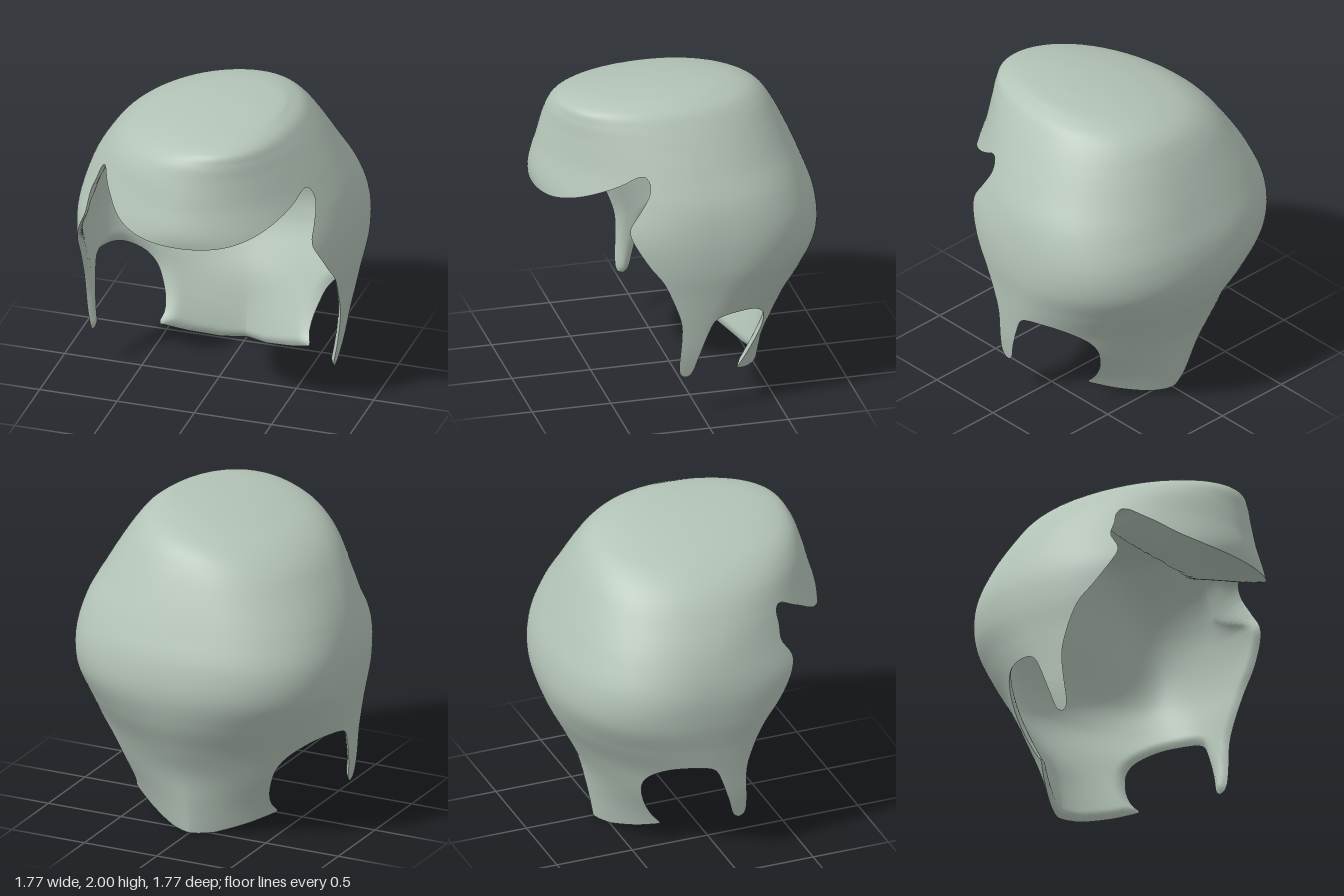
import * as THREE from 'three';

// Horizontal sections: y, xMin, xMax, zMin, zMax, zCentre, back exponent, front exponent
const SECTIONS = [
  [2.00, 0.26, 0.26, 0.10, 0.10, 0.10, 2.0, 2.0],
  [1.99, 0.10, 0.41, -0.14, 0.31, 0.09, 2.0, 2.0],
  [1.97, -0.05, 0.47, -0.30, 0.54, 0.08, 2.0, 2.05],
  [1.93, -0.24, 0.535, -0.45, 0.70, 0.06, 2.0, 2.1],
  [1.86, -0.45, 0.59, -0.56, 0.76, 0.04, 2.1, 2.1],
  [1.75, -0.61, 0.66, -0.64, 0.795, 0.02, 2.2, 2.0],
  [1.59, -0.73, 0.75, -0.72, 0.84, 0.00, 2.3, 1.85],
  [1.40, -0.825, 0.84, -0.80, 0.885, -0.07, 2.4, 1.9],
  [1.20, -0.88, 0.88, -0.87, 0.85, -0.14, 2.4, 2.3],
  [1.00, -0.885, 0.885, -0.885, 0.83, -0.13, 2.3, 2.3],
  [0.80, -0.86, 0.86, -0.83, 0.81, -0.08, 2.0, 2.2],
  [0.60, -0.835, 0.835, -0.73, 0.78, -0.02, 1.8, 2.2],
  [0.40, -0.81, 0.81, -0.635, 0.73, 0.03, 1.75, 2.2],
  [0.20, -0.765, 0.765, -0.59, 0.69, 0.08, 1.5, 2.2],
  [0.00, -0.70, 0.70, -0.555, 0.65, 0.10, 1.35, 2.2],
];

// Lower hair line in side profile (z, y): fringe, temple, sideburn, ear gap, nape
const HAIRLINE = [
  [0.89, 1.335], [0.84, 1.352], [0.78, 1.38], [0.70, 1.42], [0.50, 1.525], [0.38, 1.595], [0.33, 1.58],
  [0.33, 1.50], [0.40, 1.38], [0.46, 1.28], [0.44, 1.19], [0.35, 1.05], [0.25, 0.93],
  [0.17, 0.76], [0.13, 0.60], [0.14, 0.32], [0.10, 0.26], [0.055, 0.29], [0.02, 0.40],
  [-0.04, 0.57], [-0.09, 0.655], [-0.20, 0.68], [-0.34, 0.66], [-0.43, 0.58], [-0.455, 0.47],
  [-0.42, 0.33], [-0.36, 0.21], [-0.30, 0.145],
];
const NAPE = [[-0.40, 0.07], [-0.50, 0.01], [-0.54, 0.002], [-1.2, 0.002], [-1.2, 2.3], [1.2, 2.3], [1.2, 1.33]];
const outline = [
  ...new THREE.SplineCurve(HAIRLINE.map(p => new THREE.Vector2(...p))).getPoints(135),
  ...NAPE.map(p => new THREE.Vector2(...p)),
];

// Signed distance to the side outline, positive inside the hair
function insideDistance(z, y) {
  let best = Infinity, inside = false;
  for (let i = 0, j = outline.length - 1; i < outline.length; j = i++) {
    const a = outline[j], b = outline[i];
    const dx = b.x - a.x, dy = b.y - a.y;
    const t = THREE.MathUtils.clamp(((z - a.x) * dx + (y - a.y) * dy) / (dx * dx + dy * dy || 1), 0, 1);
    best = Math.min(best, Math.hypot(z - a.x - dx * t, y - a.y - dy * t));
    if ((a.y > y) !== (b.y > y) && z < a.x + dx * (y - a.y) / dy) inside = !inside;
  }
  return inside ? best : -best;
}

const { smoothstep } = THREE.MathUtils;
const AROUND = 220, PER = 10, ROWS = (SECTIONS.length - 1) * PER;
const THICK = 0.035, RIM = 0.05;

// Uncut outer surface, a grid running down from the crown
function outerGrid() {
  const spline = new THREE.CubicInterpolant(SECTIONS.map((_, i) => i), SECTIONS.flat(), 8, new Float32Array(8));
  const pos = [], tris = [];
  const id = (i, j) => i === 0 ? 0 : 1 + (i - 1) * AROUND + j % AROUND;
  for (let i = 0; i <= ROWS; i++) {
    const [y, x0, x1, z0, z1, zc, pb, pf] = spline.evaluate(i / PER);
    for (let j = 0; j < (i ? AROUND : 1); j++) {
      const a = j / AROUND * Math.PI * 2, s = Math.sin(a), c = Math.cos(a);
      const e = 2 / (c > 0 ? pf : pb);
      pos.push(
        (x0 + x1) / 2 + (x1 - x0) / 2 * Math.sign(s) * Math.abs(s) ** e,
        y,
        zc + ((c > 0 ? z1 : z0) - zc) * Math.abs(c) ** e);
    }
  }
  for (let i = 0; i < ROWS; i++) for (let j = 0; j < AROUND; j++) {
    const a = id(i, j), b = id(i + 1, j), c = id(i + 1, j + 1), d = id(i, j + 1);
    tris.push([a, b, c]);
    if (i) tris.push([a, c, d]);
  }
  const geo = new THREE.BufferGeometry();
  geo.setAttribute('position', new THREE.Float32BufferAttribute(pos, 3));
  geo.setIndex(tris.flat());
  geo.computeVertexNormals();
  return { geo, tris };
}

function hairGeometry() {
  const { geo, tris } = outerGrid();
  const P = geo.attributes.position, N = geo.attributes.normal;
  const verts = [];
  for (let i = 0; i < P.count; i++) {
    const p = new THREE.Vector3().fromBufferAttribute(P, i);
    // The right temple and fringe corner reach further forward than the left
    const skew = 0.03 * p.x * smoothstep(p.y, 0.8, 1.2) + 0.1 * Math.min(p.x, 0) * smoothstep(p.y, 1.38, 1.52);
    verts.push({ p, n: new THREE.Vector3().fromBufferAttribute(N, i), d: insideDistance(p.z + skew, p.y) });
  }

  // Trim the grid along the hair line
  const cuts = new Map(), kept = [];
  const cut = (a, b) => {
    const key = Math.min(a, b) + '_' + Math.max(a, b);
    if (!cuts.has(key)) {
      const A = verts[a], B = verts[b], t = A.d / (A.d - B.d);
      cuts.set(key, verts.length);
      verts.push({ p: A.p.clone().lerp(B.p, t), n: A.n.clone().lerp(B.n, t).normalize(), d: 0 });
    }
    return cuts.get(key);
  };
  for (const tri of tris) {
    const poly = [];
    tri.forEach((a, k) => {
      const b = tri[(k + 1) % 3];
      if (verts[a].d > 0) poly.push(a);
      if ((verts[a].d > 0) !== (verts[b].d > 0)) poly.push(cut(a, b));
    });
    for (let k = 2; k < poly.length; k++) kept.push([poly[0], poly[k - 1], poly[k]]);
  }

  // Inner surface meets the outer at the rim; fringe, crown and back of the head are deeper
  const inner = ({ p, n, d }) => {
    const k = 1 - Math.min(d / RIM, 1);
    const q = p.clone().addScaledVector(n, -THICK * (1 - k * k));
    const rise = Math.max(0, Math.min(d, p.y - 1.33));
    q.z -= Math.min(4.2 * rise, 0.54) * smoothstep(p.z, -0.1, 0.9);
    q.z += 0.18 * Math.min(d / 0.2, 1) * smoothstep(p.y, 0.6, 1.3) * smoothstep(-p.z, 0.3, 0.85);
    q.y -= 0.14 * Math.min(d / 0.2, 1) * smoothstep(p.y, 1.5, 2);
    return q;
  };
  const out = [], index = [];
  const addSurface = (place, flip) => {
    const ids = new Map();
    for (const tri of kept) for (const v of flip ? [...tri].reverse() : tri) {
      if (!ids.has(v)) {
        ids.set(v, out.length / 3);
        out.push(...place(verts[v]).toArray());
      }
      index.push(ids.get(v));
    }
  };
  addSurface(v => v.p, false);
  addSurface(inner, true);

  const hair = new THREE.BufferGeometry();
  hair.setAttribute('position', new THREE.Float32BufferAttribute(out, 3));
  hair.setIndex(index);
  hair.computeVertexNormals();
  return hair;
}

export function createModel() {
  const group = new THREE.Group();
  group.name = 'hairpiece';
  const material = new THREE.MeshStandardMaterial({ color: 0xb4c4b8, side: THREE.DoubleSide });
  const hair = new THREE.Mesh(hairGeometry(), material);
  hair.name = 'hair';
  group.add(hair);
  return group;
}
